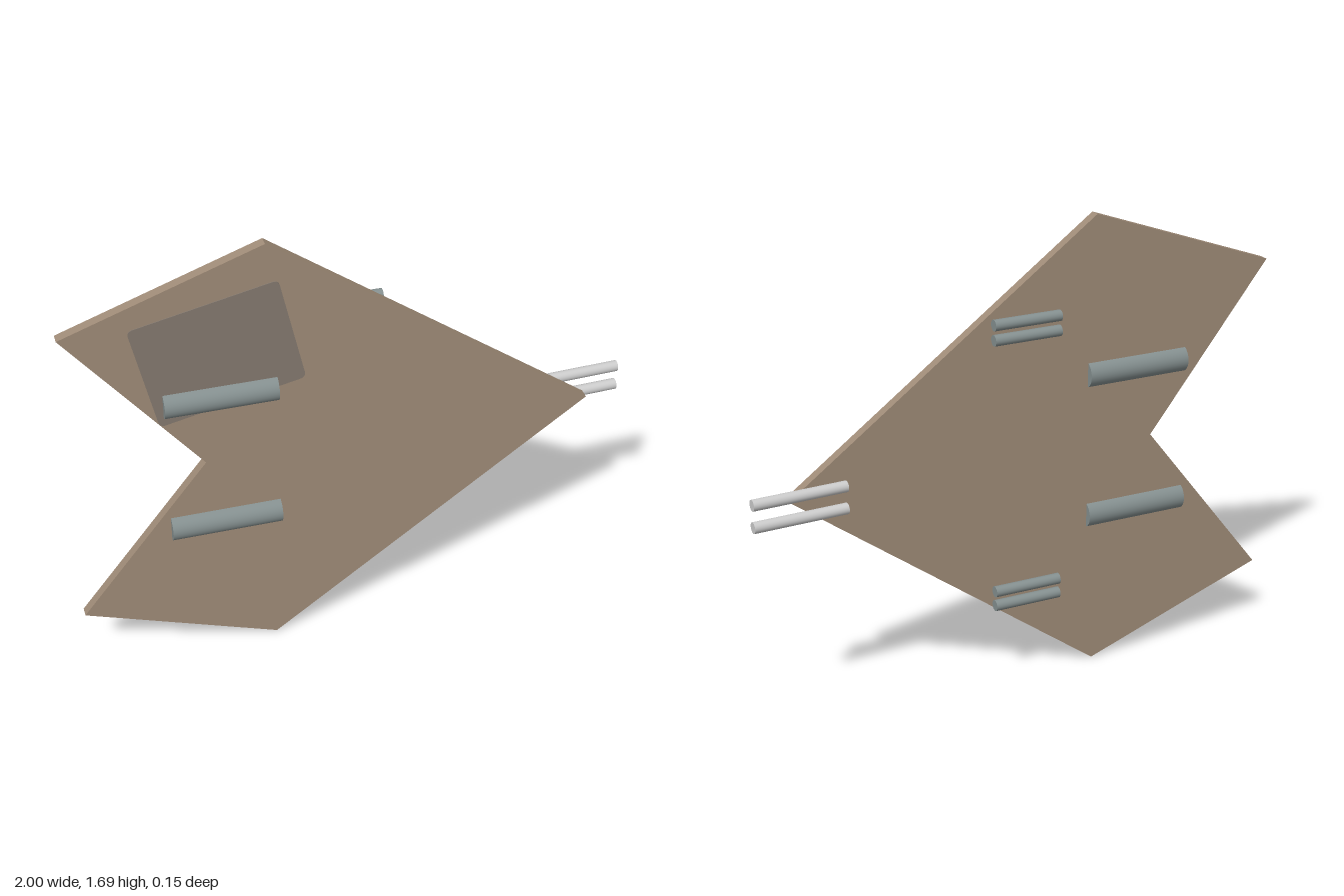
import * as THREE from 'three';

const MID = 0.845; // height of the mirror line

const paint = (color) => new THREE.MeshStandardMaterial({ color });

function add(parent, name, geometry, material) {
  const mesh = new THREE.Mesh(geometry, material);
  mesh.name = name;
  parent.add(mesh);
  return mesh;
}

// Closed cylinder running between two points
function rod(parent, name, from, to, radius, material) {
  const a = new THREE.Vector3(...from), b = new THREE.Vector3(...to);
  const dir = b.clone().sub(a);
  const mesh = add(parent, name, new THREE.CylinderGeometry(radius, radius, dir.length(), 32), material);
  mesh.position.copy(a).add(b).multiplyScalar(0.5);
  mesh.quaternion.setFromUnitVectors(new THREE.Vector3(0, 1, 0), dir.normalize());
  return mesh;
}

function roundedRect(w, h, r) {
  const s = new THREE.Shape();
  const x = w / 2 - r, y = h / 2 - r;
  s.absarc(x, y, r, 0, Math.PI / 2);
  s.absarc(-x, y, r, Math.PI / 2, Math.PI);
  s.absarc(-x, -y, r, Math.PI, Math.PI * 1.5);
  s.absarc(x, -y, r, Math.PI * 1.5, Math.PI * 2);
  s.closePath();
  return s;
}

export function createModel() {
  const group = new THREE.Group();
  const tan = paint(0xa08c78);
  const steel = paint(0x859090);
  const light = paint(0xcccccc);
  const dark = paint(0x857a70);

  // Flat arrowhead hull
  const outline = [[-1, 1.44], [-0.535, MID], [-1, 0.25], [-0.305, 0], [0.85, MID], [-0.305, 1.69]];
  const hullShape = new THREE.Shape(outline.map(([x, y]) => new THREE.Vector2(x, y)));
  const hull = add(group, 'hull', new THREE.ExtrudeGeometry(hullShape, { depth: 0.037, bevelEnabled: false }), tan);
  hull.position.z = 0.002;

  // Thin tilted panel on the upper wing
  const panel = add(group, 'wingPanel',
    new THREE.ExtrudeGeometry(roundedRect(0.52, 0.415, 0.02), { depth: 0.004, bevelEnabled: false, curveSegments: 6 }), dark);
  panel.position.set(-0.475, 1.288, 0.0375);
  panel.rotation.z = 0.213;

  for (const [side, s] of [['upper', 1], ['lower', -1]]) {
    // Engine set through the hull
    rod(group, side + 'Engine', [-0.67, MID + s * 0.267, 0.025], [-0.277, MID + s * 0.267, 0.025], 0.05, steel);

    // Pair of short wing barrels on the back
    for (const offset of [0.468, 0.522]) {
      const y = MID + s * offset;
      rod(group, side + 'WingBarrel', [-0.14, y, -0.045], [0.113, y, -0.045], 0.02, steel);
    }

    // Long nose barrel, angled slightly backwards
    const y = MID + s * 0.04;
    rod(group, side + 'NoseBarrel', [0.66, y, -0.043], [0.999, y, -0.057], 0.02, light);
  }
  return group;
}
